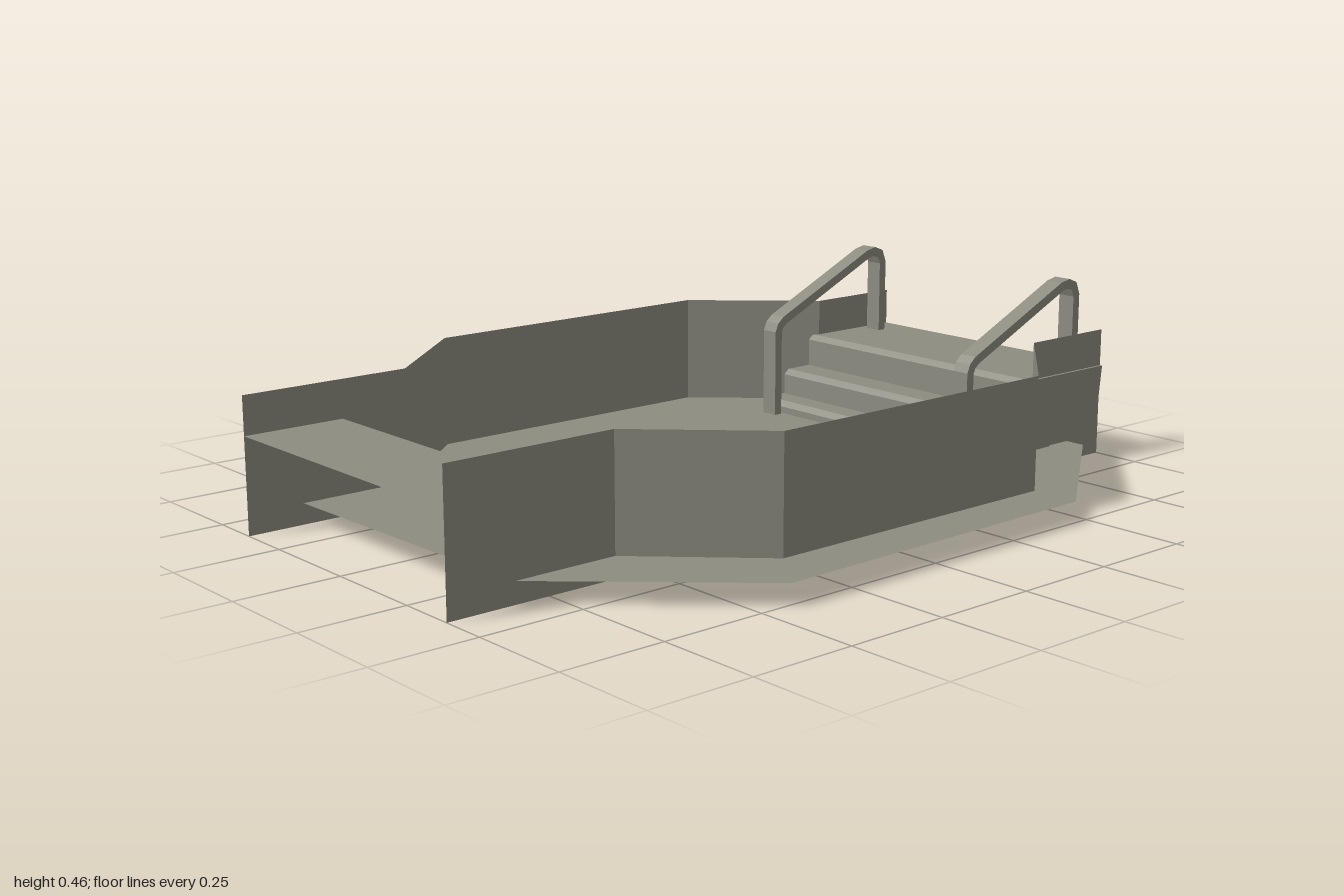
import * as THREE from 'three';

const stone = new THREE.MeshStandardMaterial({ color: 0x8c8c80, side: THREE.DoubleSide });
stone.name = 'grey stone';

function add(parent, name, geometry) {
  const mesh = new THREE.Mesh(geometry, stone);
  mesh.name = name;
  parent.add(mesh);
  return mesh;
}

// Open sheet of flat quads between two matching rows of points
function sheet(a, b) {
  const pos = [];
  for (let i = 0; i < a.length - 1; i++) {
    pos.push(...a[i], ...b[i], ...b[i + 1], ...a[i], ...b[i + 1], ...a[i + 1]);
  }
  const g = new THREE.BufferGeometry();
  g.setAttribute('position', new THREE.Float32BufferAttribute(pos, 3));
  g.computeVertexNormals();
  return g;
}

// Extrude a [z, y] outline across x, centred on x = 0
function acrossX(outline, width) {
  const shape = new THREE.Shape(outline.map(([z, y]) => new THREE.Vector2(-z, y)));
  const g = new THREE.ExtrudeGeometry(shape, { depth: width, bevelEnabled: false });
  g.translate(0, 0, -width / 2);
  g.rotateY(Math.PI / 2);
  return g;
}

// Turn an open [z, y] path into a closed bar outline of constant thickness
function barOutline(path, thickness) {
  const pts = path.map(p => new THREE.Vector2(...p));
  const outer = [], inner = [];
  pts.forEach((p, i) => {
    const d0 = pts[i].clone().sub(pts[Math.max(i - 1, 0)]).normalize();
    const d1 = pts[Math.min(i + 1, pts.length - 1)].clone().sub(p).normalize();
    const dir = d0.clone().add(d1).normalize();
    const miter = thickness / 2 / dir.dot(i ? d0 : d1);
    const n = new THREE.Vector2(-dir.y, dir.x).multiplyScalar(miter);
    outer.push([p.x + n.x, p.y + n.y]);
    inner.unshift([p.x - n.x, p.y - n.y]);
  });
  return [...outer, ...inner];
}

export function createModel() {
  const pool = new THREE.Group();
  pool.name = 'steppedPool';

  // Thin eight-sided floor reaching past the walls
  const floor = [[-0.765, -0.46], [-0.45, -0.88], [0.43, -0.88], [0.75, -0.46],
    [0.76, 0.43], [0.385, 0.84], [-0.385, 0.86], [-0.765, 0.375]];
  const floorGeo = new THREE.ShapeGeometry(
    new THREE.Shape(floor.map(([x, z]) => new THREE.Vector2(x, -z))));
  floorGeo.rotateX(-Math.PI / 2);
  add(pool, 'floor', floorGeo).position.y = 0.05;

  // Folded side walls, open at the front and back
  const walls = {
    leftWall: [[0.39, 1], [0.39, 0.58], [0.63, 0.33], [0.63, -0.46], [0.378, -0.74], [0.378, -1]],
    rightWall: [[-0.38, 1], [-0.38, 0.58], [-0.615, 0.31], [-0.615, -0.48], [-0.372, -0.74], [-0.372, -1]],
  };
  for (const [name, plan] of Object.entries(walls)) {
    add(pool, name, sheet(plan.map(([x, z]) => [x, 0, z]), plan.map(([x, z]) => [x, 0.32, z])));
  }

  // Stair profile running inward from the deck, as [distance from centre, y]
  const stairs = [[1, 0.228], [0.75, 0.228], [0.735, 0.215], [0.735, 0.145],
    [0.66, 0.145], [0.645, 0.132], [0.645, 0.08], [0.585, 0.08], [0.57, 0.067], [0.57, 0.02]];

  // Front steps: an open folded sheet
  add(pool, 'frontSteps', sheet(
    stairs.map(([z, y]) => [-0.383, y, z]), stairs.map(([z, y]) => [0.387, y, z])));

  // Back steps: a solid block with an undercut deck
  const backOutline = stairs.map(([z, y]) => [z === 1 ? -1 : 0.02 - z, y]);
  backOutline.push([-0.8, 0.02], [-0.82, 0.14], [-0.99, 0.14]);
  add(pool, 'backSteps', acrossX(backOutline, 0.77));

  // Flat-bar handrails beside the back steps
  const railPath = [[-0.53, 0.05], [-0.53, 0.27], [-0.537, 0.287], [-0.552, 0.3],
    [-0.86, 0.443], [-0.885, 0.448], [-0.905, 0.44], [-0.915, 0.415], [-0.915, 0.225]];
  const railGeo = acrossX(barOutline(railPath, 0.022), 0.045);
  add(pool, 'leftHandrail', railGeo).position.x = 0.34;
  add(pool, 'rightHandrail', railGeo).position.x = -0.33;

  return pool;
}
